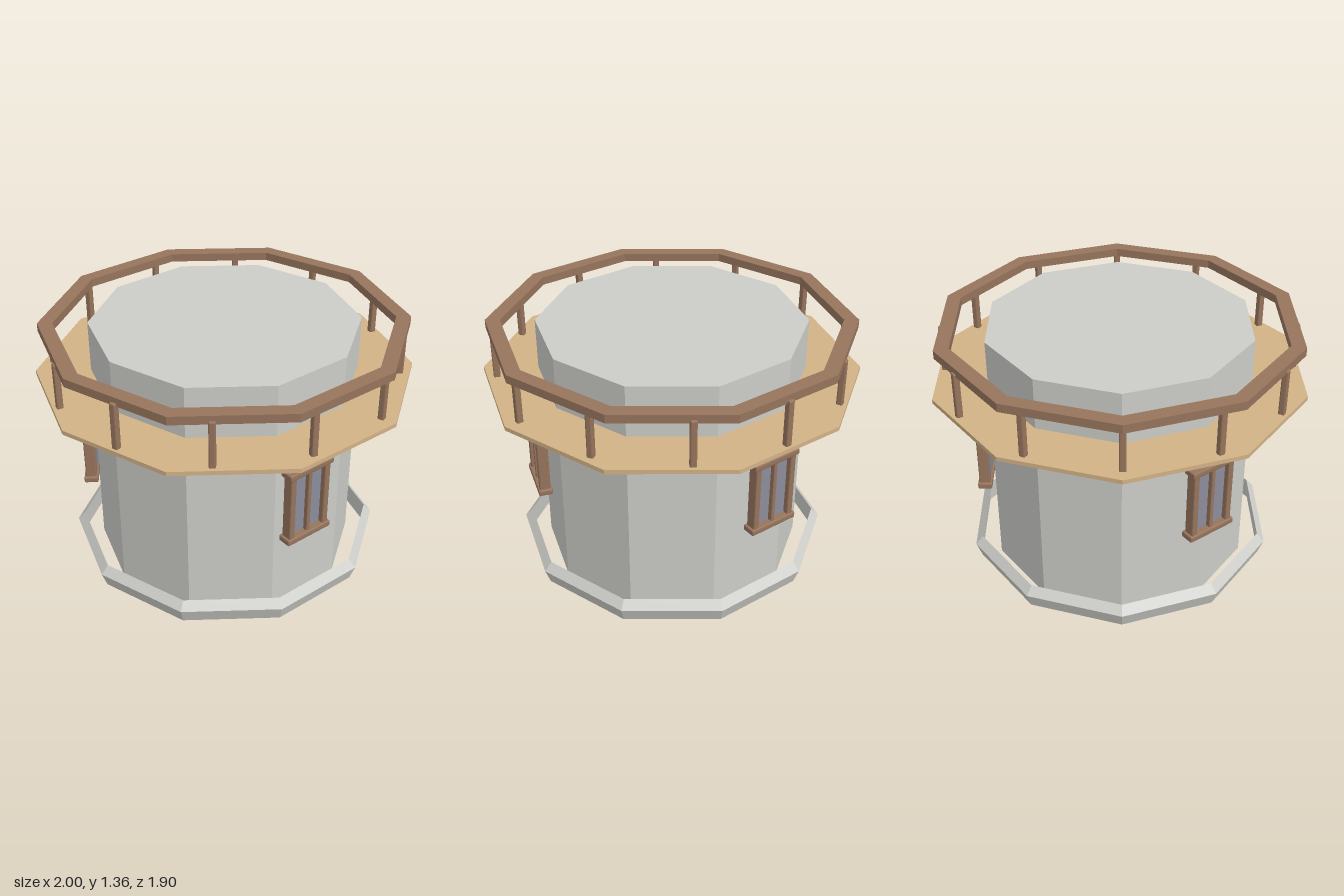
import * as THREE from 'three';
import { RoundedBoxGeometry } from 'three/addons/geometries/RoundedBoxGeometry.js';

const SIDES = 10;
const mat = (color) => new THREE.MeshStandardMaterial({ color, flatShading: true });
const stone = mat(0xcccdc8);
const planks = mat(0xd2b286);
const wood = mat(0x96745c);
const glass = mat(0x8b8c9b);

function mesh(name, geometry, material, parent) {
  const flat = geometry.index ? geometry.toNonIndexed() : geometry;
  flat.computeVertexNormals();
  const m = new THREE.Mesh(flat, material);
  m.name = name;
  parent.add(m);
  return m;
}

// Ten-sided ring or solid from a [radius, y] profile, with corners on the x axis
function decagon(name, profile, material, parent) {
  const points = profile.map(([r, y]) => new THREE.Vector2(r, y));
  return mesh(name, new THREE.LatheGeometry(points, SIDES, Math.PI / 2), material, parent);
}

// Beam with chamfered edges
function beam(name, w, h, d, x, y, z, material, parent) {
  const bevel = Math.min(w, h, d) * 0.2;
  const m = mesh(name, new RoundedBoxGeometry(w, h, d, 1, bevel), material, parent);
  m.position.set(x, y, z);
  return m;
}

// Window built facing +z, centred on its own origin
function makeWindow() {
  const g = new THREE.Group();
  g.name = 'window';
  const pane = mesh('windowPane', new THREE.BoxGeometry(0.22, 0.38, 0.028), glass, g);
  pane.position.z = -0.014;
  for (const s of [-1, 1]) {
    beam('windowStile', 0.034, 0.4, 0.06, s * 0.112, 0, 0, wood, g);
    beam(s > 0 ? 'windowLintel' : 'windowSill', 0.285, 0.034, 0.076, 0, s * 0.2, 0, wood, g);
  }
  beam('windowMullion', 0.022, 0.38, 0.035, 0, 0, 0.008, wood, g);
  beam('windowHeadRail', 0.2, 0.016, 0.035, 0, 0.18, 0.008, wood, g);
  return g;
}

export function createModel() {
  const model = new THREE.Group();
  model.name = 'tower';

  // Tower body
  decagon('towerBody', [[0, 0], [0.71, 0], [0.71, 1.355], [0, 1.355]], stone, model);

  // Loose plinth ring around the foot
  decagon('plinthRing', [[0.822, 0], [0.852, 0.085], [0.81, 0.13], [0.822, 0]], stone, model);

  // Balcony floor with sloping underside
  decagon('balconyFloor', [[0.7, 1.0], [1.0, 1.055], [1.0, 1.078], [0.7, 1.078]], planks, model);

  // Handrail
  decagon('handrail',
    [[0.89, 1.31], [0.968, 1.31], [0.968, 1.355], [0.89, 1.355], [0.89, 1.31]], wood, model);

  // Twelve posts on a circle
  for (let i = 0; i < 12; i++) {
    const a = (i / 12) * Math.PI * 2;
    const post = beam('railPost', 0.034, 0.255, 0.034,
      0.92 * Math.cos(a), 1.2, 0.92 * Math.sin(a), wood, model);
    post.rotation.y = -a;
  }

  // Three windows a third of a turn apart, each turned to suit its wall
  for (let i = 0; i < 3; i++) {
    const place = THREE.MathUtils.degToRad(23 + i * 120);
    const facing = THREE.MathUtils.degToRad(18 + i * 126);
    const win = makeWindow();
    win.position.set(0.741 * Math.cos(place), 0.667, 0.741 * Math.sin(place));
    win.rotation.y = Math.PI / 2 - facing;
    model.add(win);
  }

  return model;
}
